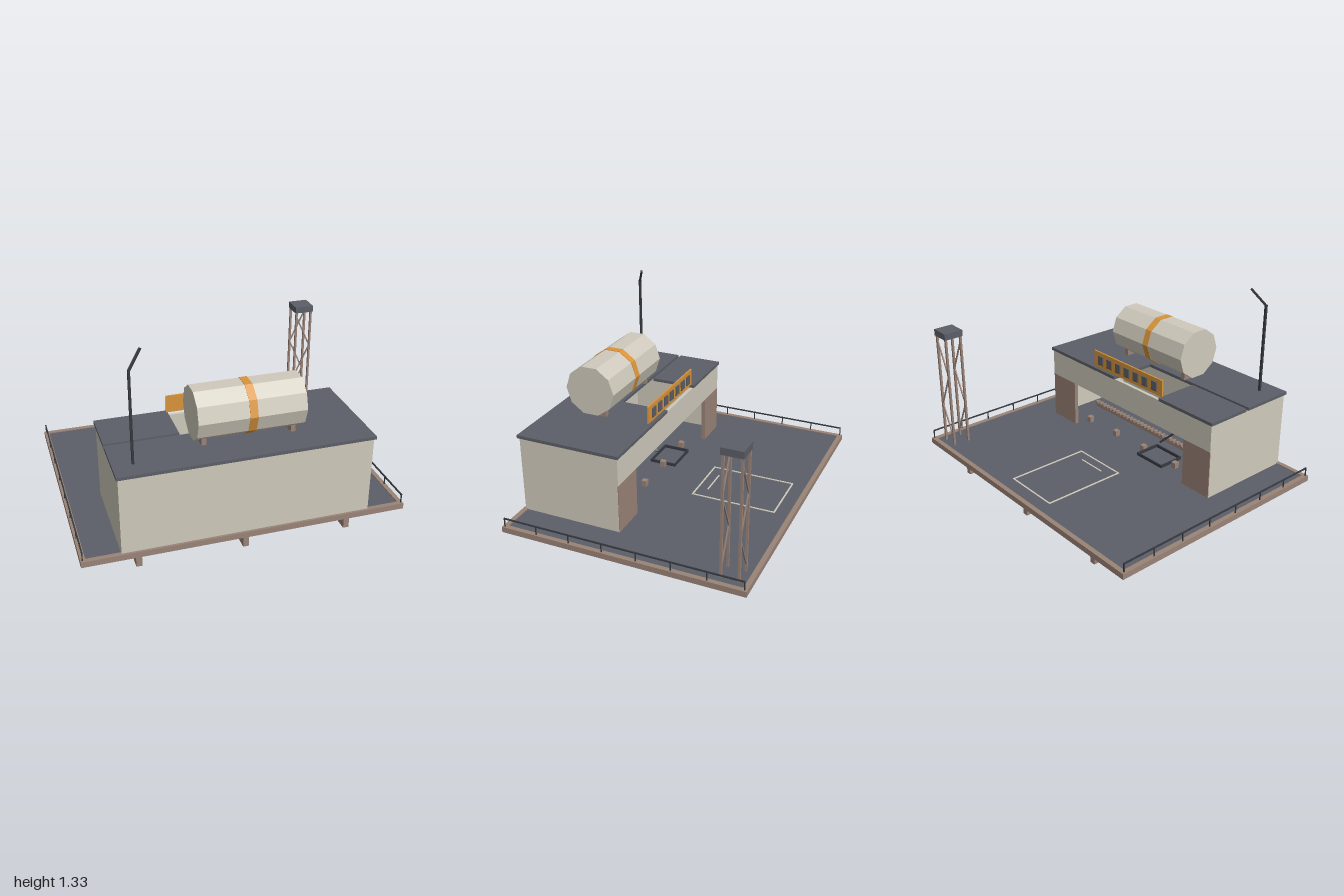
import * as THREE from 'three';

export function createModel() {
  const root = new THREE.Group();
  root.name = 'platformWithHangar';
  const mat = (name, color) => {
    const m = new THREE.MeshStandardMaterial({ color });
    m.name = name;
    return m;
  };
  const beige = mat('paleBeige', 0xcfcabc);
  const brown = mat('dustyBrown', 0x9a8377);
  const slate = mat('slateGrey', 0x5c5f67);
  const dark = mat('darkSteel', 0x363a40);
  const orange = mat('signalOrange', 0xd9943a);

  const group = (name) => {
    const g = new THREE.Group();
    g.name = name;
    root.add(g);
    return g;
  };
  // box given by its lower and upper limits on each axis
  const box = (parent, name, m, x0, x1, y0, y1, z0, z1) => {
    const mesh = new THREE.Mesh(new THREE.BoxGeometry(x1 - x0, y1 - y0, z1 - z0), m);
    mesh.position.set((x0 + x1) / 2, (y0 + y1) / 2, (z0 + z1) / 2);
    mesh.name = name;
    parent.add(mesh);
    return mesh;
  };
  // square bar between two points
  const bar = (parent, name, m, a, b, w) => {
    const p = new THREE.Vector3(...a), q = new THREE.Vector3(...b);
    const mesh = new THREE.Mesh(new THREE.BoxGeometry(w, w, p.distanceTo(q)), m);
    mesh.position.copy(p).add(q).multiplyScalar(0.5);
    mesh.lookAt(q);
    mesh.name = name;
    parent.add(mesh);
    return mesh;
  };
  // rectangular outline lying flat
  const outline = (parent, name, m, x0, x1, z0, z1, y0, y1, w) => {
    box(parent, name, m, x0, x1, y0, y1, z0, z0 + w);
    box(parent, name, m, x0, x1, y0, y1, z1 - w, z1);
    box(parent, name, m, x0, x0 + w, y0, y1, z0 + w, z1 - w);
    box(parent, name, m, x1 - w, x1, y0, y1, z0 + w, z1 - w);
  };

  // deck, rim and support beams
  const deck = group('deck');
  box(deck, 'deckPlate', slate, -0.97, 0.97, 0.122, 0.15, -0.75, 0.75);
  outline(deck, 'deckRim', brown, -1, 1, -0.78, 0.78, 0.118, 0.155, 0.03);
  for (const x of [-0.655, 0, 0.655])
    box(deck, 'supportBeam', brown, x - 0.018, x + 0.018, 0, 0.122, -0.71, 0.71);

  // painted landing marks
  outline(deck, 'groundMarking', beige, -0.195, 0.192, -0.665, -0.108, 0.15, 0.154, 0.01);
  box(deck, 'groundMarkingLine', beige, -0.1, 0.095, 0.15, 0.154, -0.185, -0.176);

  // railings along both sides
  const railing = group('railings');
  for (const s of [-1, 1]) {
    const x = s * 0.988;
    box(railing, 'handRail', dark, x - 0.004, x + 0.004, 0.206, 0.214, -0.767, 0.767);
    for (let i = 0; i < 8; i++) {
      const z = -0.764 + i * 0.2183;
      box(railing, 'railPost', dark, x - 0.003, x + 0.003, 0.15, 0.208, z - 0.003, z + 0.003);
    }
  }

  // hangar walls with a wide rear doorway
  const hangar = group('hangar');
  box(hangar, 'frontWall', beige, -0.765, 0.762, 0.15, 0.645, 0.745, 0.765);
  box(hangar, 'rightWall', beige, -0.765, -0.742, 0.15, 0.645, 0.112, 0.745);
  box(hangar, 'leftWall', beige, 0.739, 0.762, 0.15, 0.645, 0.112, 0.745);
  box(hangar, 'doorLintel', beige, -0.765, 0.762, 0.465, 0.645, 0.108, 0.13);
  box(hangar, 'doorPier', brown, -0.764, -0.54, 0.15, 0.465, 0.108, 0.135);
  box(hangar, 'doorPier', brown, 0.53, 0.761, 0.15, 0.465, 0.108, 0.135);

  // roof panels around an opening and a narrow gap
  box(hangar, 'roofFront', slate, -0.775, 0.772, 0.645, 0.665, 0.42, 0.777);
  box(hangar, 'roofRearRight', slate, -0.775, -0.32, 0.645, 0.665, 0.1, 0.4);
  box(hangar, 'roofRearLeft', slate, 0.1, 0.772, 0.645, 0.665, 0.1, 0.42);

  // tank lying on its saddles
  const tank = group('tank');
  const drum = (name, m, x0, x1, r) => {
    const geo = new THREE.CylinderGeometry(r, r, x1 - x0, 10).toNonIndexed();
    geo.rotateZ(Math.PI / 2);
    geo.computeVertexNormals();
    // a corner points along z, leaving a flat top
    const mesh = new THREE.Mesh(geo, m);
    mesh.position.set((x0 + x1) / 2, 0.84, 0.492);
    mesh.name = name;
    tank.add(mesh);
  };
  drum('tankBody', beige, -0.275, 0.38, 0.164);
  drum('tankBand', orange, 0.03, 0.078, 0.167);
  for (const x of [-0.222, 0.326])
    box(tank, 'tankSaddle', brown, x - 0.015, x + 0.015, 0.665, 0.712, 0.407, 0.577);

  // orange panel with a row of dark plates
  const sign = group('signPanel');
  box(sign, 'panelBoard', orange, -0.33, 0.325, 0.667, 0.778, 0.12, 0.131);
  for (let i = 0; i < 7; i++) {
    const x = -0.003 + (i - 3) * 0.086;
    box(sign, 'panelPlate', slate, x - 0.024, x + 0.024, 0.695, 0.753, 0.112, 0.12);
    outline(sign, 'plateFoot', dark, x - 0.026, x + 0.026, 0.113, 0.12, 0.692, 0.695, 0.003);
  }

  // bent mast on the roof
  const mast = group('mast');
  bar(mast, 'mastPole', dark, [-0.655, 0.665, 0.657], [-0.655, 1.235, 0.657], 0.014);
  bar(mast, 'mastArm', dark, [-0.655, 1.23, 0.657], [-0.577, 1.328, 0.602], 0.012);

  // lattice tower
  const tower = group('tower');
  const tx = [0.817, 0.924], tz = [-0.709, -0.601];
  for (const x of tx)
    for (const z of tz)
      box(tower, 'towerLeg', brown, x - 0.007, x + 0.007, 0.15, 0.918, z - 0.007, z + 0.007);
  box(tower, 'towerCap', slate, 0.805, 0.936, 0.915, 0.958, -0.72, -0.589);
  for (let f = 0; f < 2; f++)
    for (let i = 0; i < 3; i++) {
      const y = 0.195 + i * 0.23, k = (i + f) % 2;
      bar(tower, 'towerBrace', brown, [tx[k], y, tz[f]], [tx[1 - k], y + 0.23, tz[f]], 0.008);
      bar(tower, 'towerBrace', brown, [tx[1 - k], y, tz[1 - f] * 1], [tx[k], y + 0.23, tz[1 - f]], 0.008);
    }

  // toothed tracks on the hangar floor
  const tracks = group('floorTracks');
  for (const z of [0.42, 0.6]) {
    box(tracks, 'trackRail', brown, -0.42, 0.66, 0.15, 0.175, z - 0.012, z + 0.012);
    for (let i = 0; i < 30; i++) {
      const x = -0.41 + i * 0.0365;
      box(tracks, 'trackTooth', brown, x - 0.009, x + 0.009, 0.175, 0.192, z - 0.02, z + 0.012);
    }
  }

  // small crates, floor frame and leaning boom
  for (const x of [-0.37, -0.07, 0.21, 0.49])
    box(tracks, 'floorCrate', brown, x - 0.017, x + 0.017, 0.15, 0.19, 0.198, 0.233);
  outline(tracks, 'floorFrame', dark, -0.322, -0.09, 0.138, 0.32, 0.15, 0.17, 0.008);
  bar(tracks, 'leaningBoom', dark, [-0.14, 0.21, 0.3], [-0.31, 0.38, 0.386], 0.012);

  return root;
}
